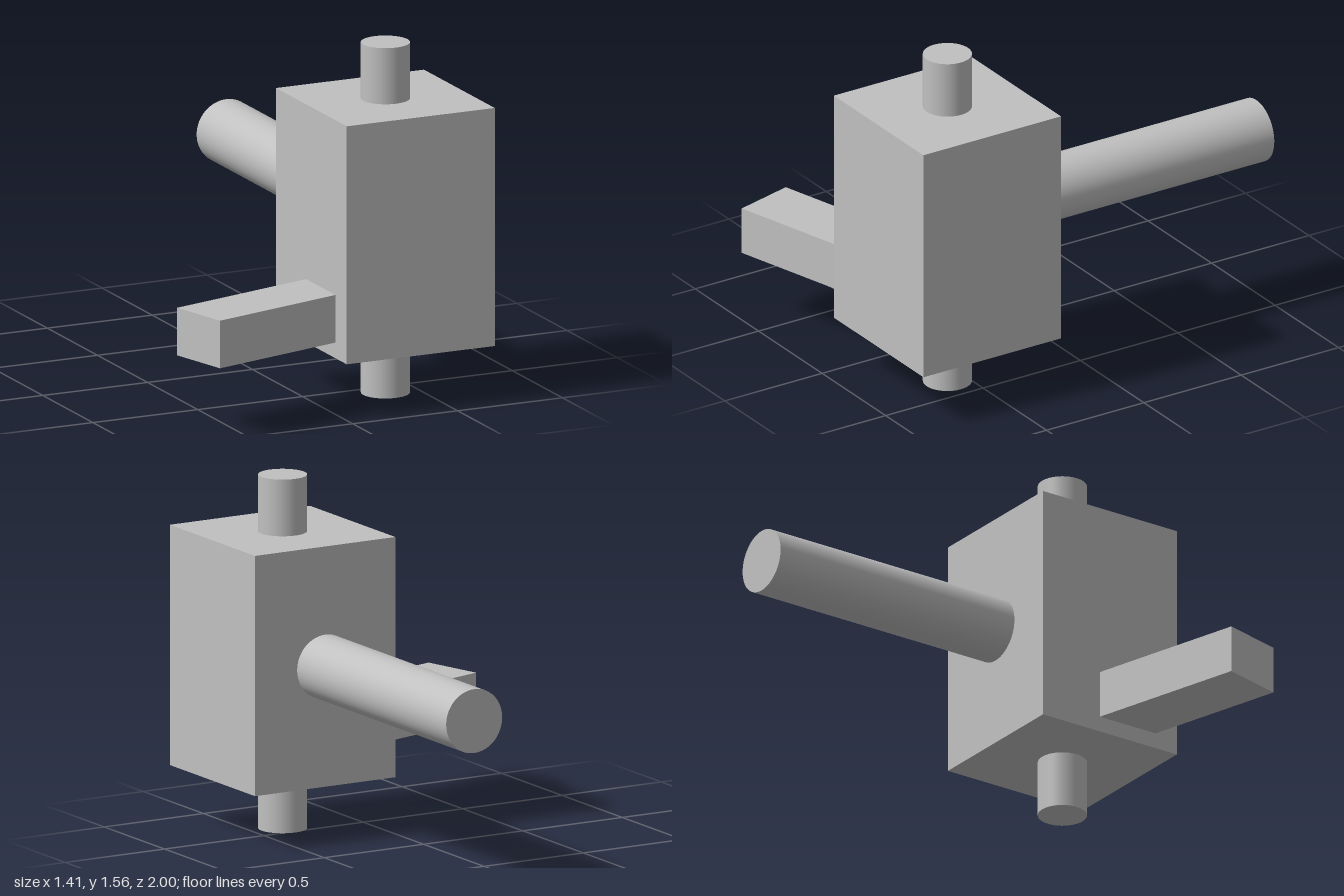
import * as THREE from 'three';

export function createModel() {
  const model = new THREE.Group();
  model.name = 'steeringKnuckle';
  const steel = new THREE.MeshStandardMaterial({ color: 0xc0c0c0 });
  steel.name = 'plain grey steel';

  const add = (name, geometry, x, y, z) => {
    const mesh = new THREE.Mesh(geometry, steel);
    mesh.name = name;
    mesh.position.set(x, y, z);
    model.add(mesh);
    return mesh;
  };

  // Centre of the knuckle block
  const cx = 0.353, cy = 0.78, cz = 0.587;
  const width = 0.706, height = 1.06;
  add('knuckleBlock', new THREE.BoxGeometry(width, height, width), cx, cy, cz);

  // Kingpin stubs above and below the block
  const stub = 0.25;
  for (const [name, side] of [['upperPin', 1], ['lowerPin', -1]]) {
    add(name, new THREE.CylinderGeometry(0.106, 0.106, stub, 64), cx, cy + side * (height + stub) / 2, cz);
  }

  // Wheel spindle running to the back
  const back = cz - width / 2;
  const spindle = add('spindle', new THREE.CylinderGeometry(0.141, 0.141, back + 1, 64), cx, cy, (back - 1) / 2);
  spindle.rotation.x = Math.PI / 2;

  // Angled steering arm, drawn in plan, with a through hole near its end
  const plan = new THREE.Shape([
    [0, 0.535], [0, 0.828], [-0.633, 1], [-0.706, 0.726],
  ].map(([x, z]) => new THREE.Vector2(x, z)));
  plan.holes.push(new THREE.Path().absarc(-0.535, 0.823, 0.055, 0, Math.PI * 2, true));
  const arm = new THREE.ExtrudeGeometry(plan, { depth: 0.212, bevelEnabled: false, curveSegments: 40 });
  arm.rotateX(Math.PI / 2);
  add('steeringArm', arm, 0, 0.532, 0);

  return model;
}
